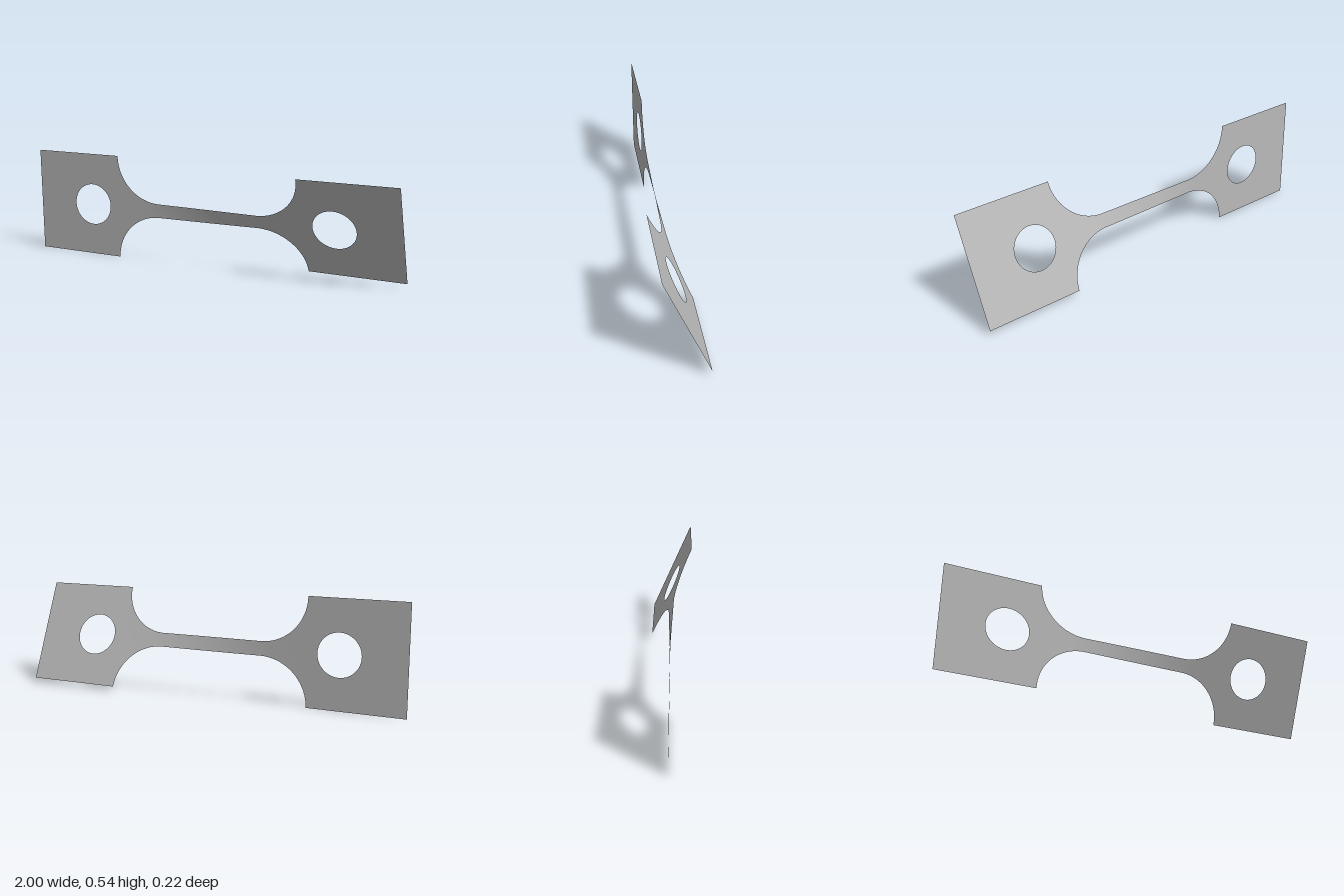
import * as THREE from 'three';

const HALF = 0.271;          // half height of the end plates
const NECK = 0.036;          // half height of the narrow strip
const X_PAD = 0.51, X_NECK = 0.27;
const DEG = Math.PI / 180;
const START = 0.8 * DEG, END = 23.8 * DEG;

// Twist angle along the length: mostly in the neck, easing out in the fillets
function twist(x) {
  const s = THREE.MathUtils.smoothstep;
  const linear = THREE.MathUtils.clamp((x + 0.33) / 0.66, 0, 1);
  const t = 0.65 * linear + 0.35 * s(x, -X_PAD, X_PAD);
  return START + (END - START) * t;
}

// Outline point for u in -1..1: straight neck, then a quarter-ellipse fillet
function outline(u) {
  const a = Math.abs(u), side = Math.sign(u);
  if (a < 0.5) return [side * X_NECK * a * 2, NECK];
  const q = (a - 0.5) * Math.PI;
  return [
    side * (X_NECK + (X_PAD - X_NECK) * Math.sin(q)),
    NECK + (HALF - NECK) * (1 - Math.cos(q)),
  ];
}

// Flat end plate with a round hole, turned about the long axis
function endPlate(side, angle, material) {
  const inner = side * X_PAD, outer = side;
  const shape = new THREE.Shape([
    new THREE.Vector2(inner, -HALF), new THREE.Vector2(outer, -HALF),
    new THREE.Vector2(outer, HALF), new THREE.Vector2(inner, HALF),
  ]);
  const hole = new THREE.Path();
  hole.absarc(side * 0.67, 0, 0.108, 0, Math.PI * 2, true);
  shape.holes.push(hole);
  const mesh = new THREE.Mesh(new THREE.ShapeGeometry(shape, 48), material);
  mesh.rotation.x = angle;
  return mesh;
}

// Twisted neck with flared fillets
function twistedNeck(material) {
  const geometry = new THREE.PlaneGeometry(2, 2, 128, 10);
  const p = geometry.attributes.position;
  for (let i = 0; i < p.count; i++) {
    const [x, h] = outline(p.getX(i));
    const v = p.getY(i) * h, a = twist(x);
    p.setXYZ(i, x, v * Math.cos(a), v * Math.sin(a));
  }
  geometry.computeVertexNormals();
  return new THREE.Mesh(geometry, material);
}

export function createModel() {
  const grey = new THREE.MeshStandardMaterial({ color: 0xb8b8b8, side: THREE.DoubleSide });
  grey.name = 'plain grey';

  const model = new THREE.Group();
  model.name = 'twistedTestStrip';

  const rightPlate = endPlate(-1, START, grey);
  rightPlate.name = 'rightEndPlate';
  const leftPlate = endPlate(1, END, grey);
  leftPlate.name = 'leftEndPlate';
  const neck = twistedNeck(grey);
  neck.name = 'twistedNeck';

  model.add(rightPlate, leftPlate, neck);
  model.children.forEach((part) => { part.position.y = HALF; });
  return model;
}
